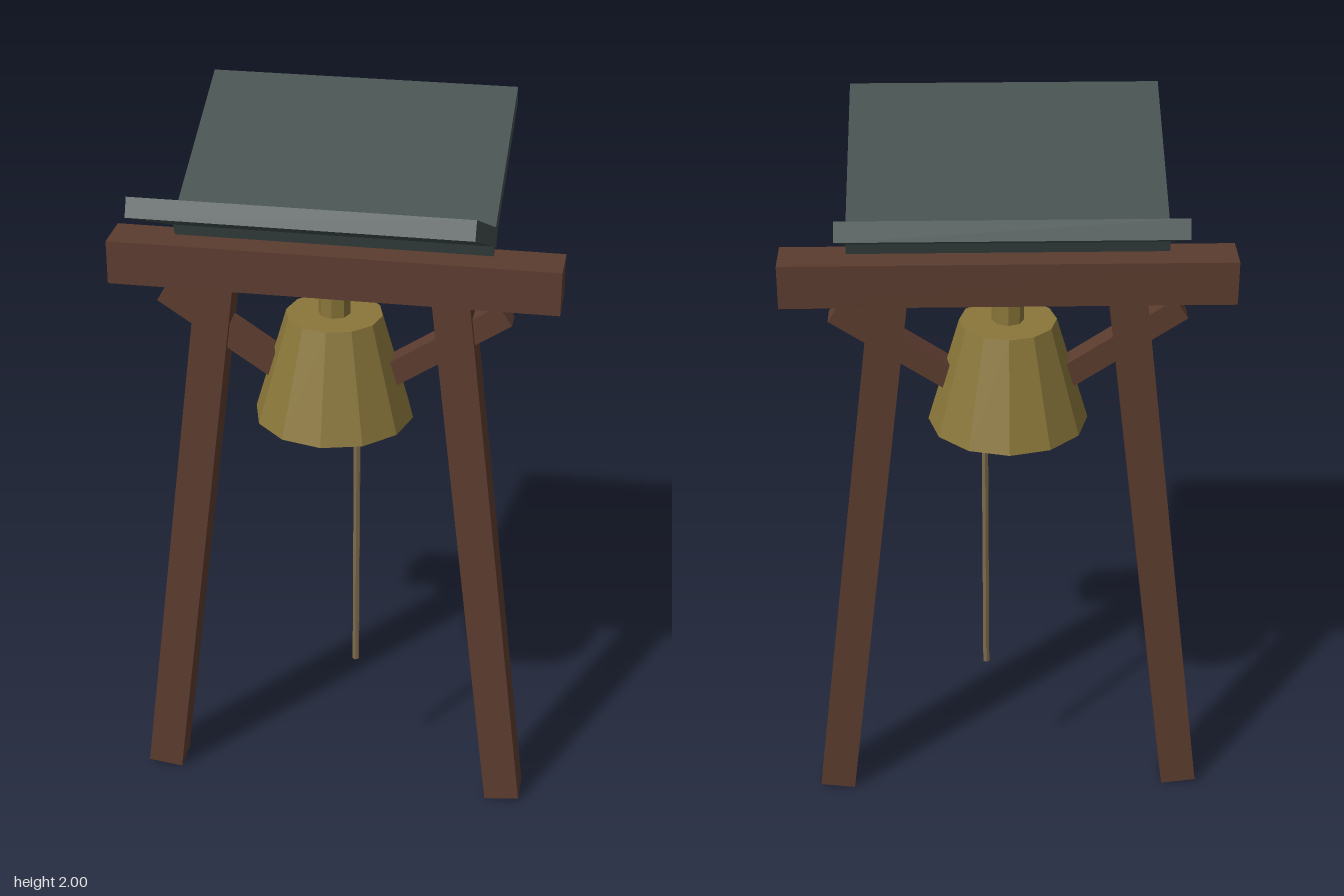
import * as THREE from 'three';

const material = (name, color) => {
  const m = new THREE.MeshStandardMaterial({ color, flatShading: true });
  m.name = name;
  return m;
};

export function createModel() {
  const wood = material('dark wood', 0x5c3c2f);
  const slate = material('slate roof', 0x424e4d);
  const brass = material('brass', 0x8a763a);
  const cord = material('rope', 0x7d6a4c);

  const model = new THREE.Group();
  model.name = 'bellStand';

  const add = (name, geometry, mat, x, y, z = 0) => {
    const mesh = new THREE.Mesh(geometry, mat);
    mesh.name = name;
    mesh.position.set(x, y, z);
    model.add(mesh);
    return mesh;
  };

  // Square timber running between two points in the x-y plane
  const timber = (name, x1, y1, x2, y2, width) => {
    const length = Math.hypot(x2 - x1, y2 - y1);
    const mesh = add(name, new THREE.BoxGeometry(width, length, width), wood, (x1 + x2) / 2, (y1 + y2) / 2);
    mesh.rotation.z = Math.atan2(x1 - x2, y2 - y1);
  };

  // Crossbeam
  add('crossbeam', new THREE.BoxGeometry(1.2, 0.12, 0.125), wood, 0, 1.64);

  // Splayed legs and the braces that run in to the bell
  for (const [side, s] of [['left', 1], ['right', -1]]) {
    timber(`${side}Leg`, s * 0.507, 0.006, s * 0.312, 1.61, 0.1);
    timber(`${side}Brace`, s * 0.124, 1.335, s * 0.457, 1.555, 0.066);
  }

  // Two roof boards crossing at the valley
  for (const [name, s] of [['frontRoofBoard', 1], ['backRoofBoard', -1]]) {
    const board = add(name, new THREE.BoxGeometry(0.84, 0.05, 0.577), slate, 0, 1.86, s * 0.2235);
    board.rotation.x = -s * 0.42;
  }

  // Bell, its hanger and the pull rope
  add('bell', new THREE.CylinderGeometry(0.13, 0.216, 0.295, 12), brass, 0, 1.3675);
  add('bellHanger', new THREE.CylinderGeometry(0.043, 0.043, 0.1, 8), brass, 0, 1.545);
  add('pullRope', new THREE.CylinderGeometry(0.01, 0.01, 0.82, 6), cord, 0.063, 0.83);

  return model;
}
